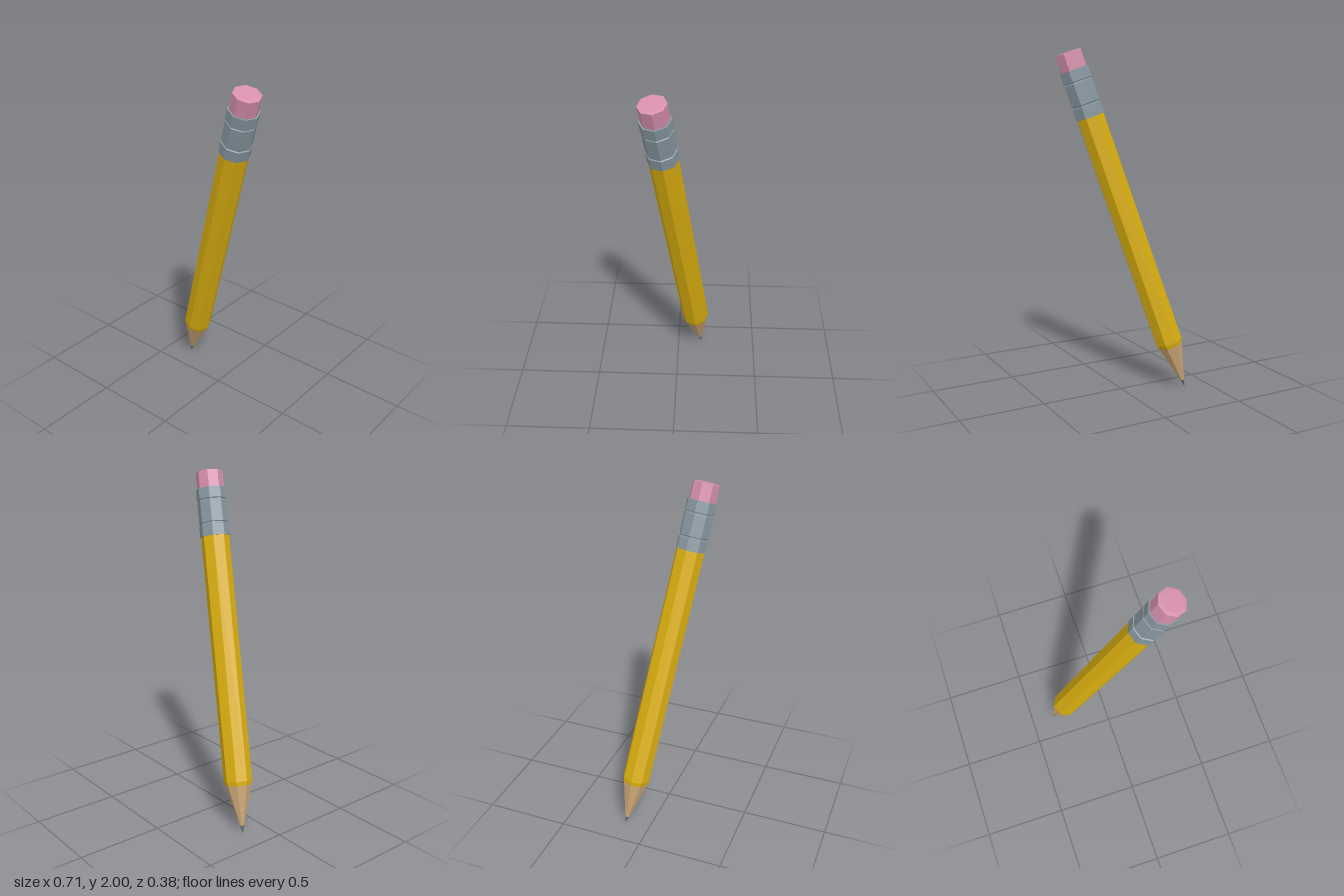
import * as THREE from 'three';

const SIDES = 8;

const paint = (name, color) => {
  const m = new THREE.MeshStandardMaterial({ color });
  m.name = name;
  return m;
};

export function createModel() {
  const yellow = paint('yellow paint', 0xd9ae0f);
  const wood = paint('bare wood', 0xcba676);
  const metal = paint('grey metal', 0x8797a0);
  const rubber = paint('pink rubber', 0xd68fad);
  const graphite = paint('graphite', 0x5c6878);

  // The pencil is built upright with its tip at the origin, then leaned over
  const tip = new THREE.Vector3(-0.355, 0, -0.15);
  const end = new THREE.Vector3(0.277, 1.975, 0.11);
  const axis = end.clone().sub(tip);
  const length = axis.length();

  const pencil = new THREE.Group();
  pencil.name = 'pencil';

  // Faceted eight-sided part from a profile of [radius, height], bottom to top
  function part(name, material, profile) {
    const points = profile.map(([r, h]) => new THREE.Vector2(r, h));
    const geometry = new THREE.LatheGeometry(points, SIDES).toNonIndexed();
    geometry.computeVertexNormals();
    const mesh = new THREE.Mesh(geometry, material);
    mesh.name = name;
    pencil.add(mesh);
  }

  // Sharpened cone, shared by the lead, the wood and the rim of the paint
  const bodyR = 0.082, coneH = 0.305, leadH = 0.045, woodH = 0.28;
  const coneR = h => bodyR * h / coneH;
  part('lead', graphite, [[0, 0], [coneR(leadH), leadH]]);
  part('sharpenedWood', wood, [[coneR(leadH), leadH], [coneR(woodH), woodH]]);

  // Painted shaft
  part('shaft', yellow, [[coneR(woodH), woodH], [bodyR, coneH], [bodyR, 1.73]]);

  // Ferrule: two bands and a sleeve, separated by grooves
  part('ferrule', metal, [
    [0.07, 1.712], [0.087, 1.712], [0.087, 1.778],
    [0.081, 1.781], [0.081, 1.788], [0.085, 1.792],
    [0.085, 1.912], [0.081, 1.916], [0.081, 1.923],
    [0.087, 1.926], [0.087, 1.988], [0.07, 1.988],
  ]);

  // Eraser with a barely domed end
  part('eraser', rubber, [
    [0.078, 1.97], [0.078, length - 0.003], [0.057, length], [0, length],
  ]);

  pencil.position.copy(tip);
  pencil.quaternion.setFromUnitVectors(new THREE.Vector3(0, 1, 0), axis.normalize());

  const model = new THREE.Group();
  model.name = 'leaningPencil';
  model.add(pencil);
  return model;
}
